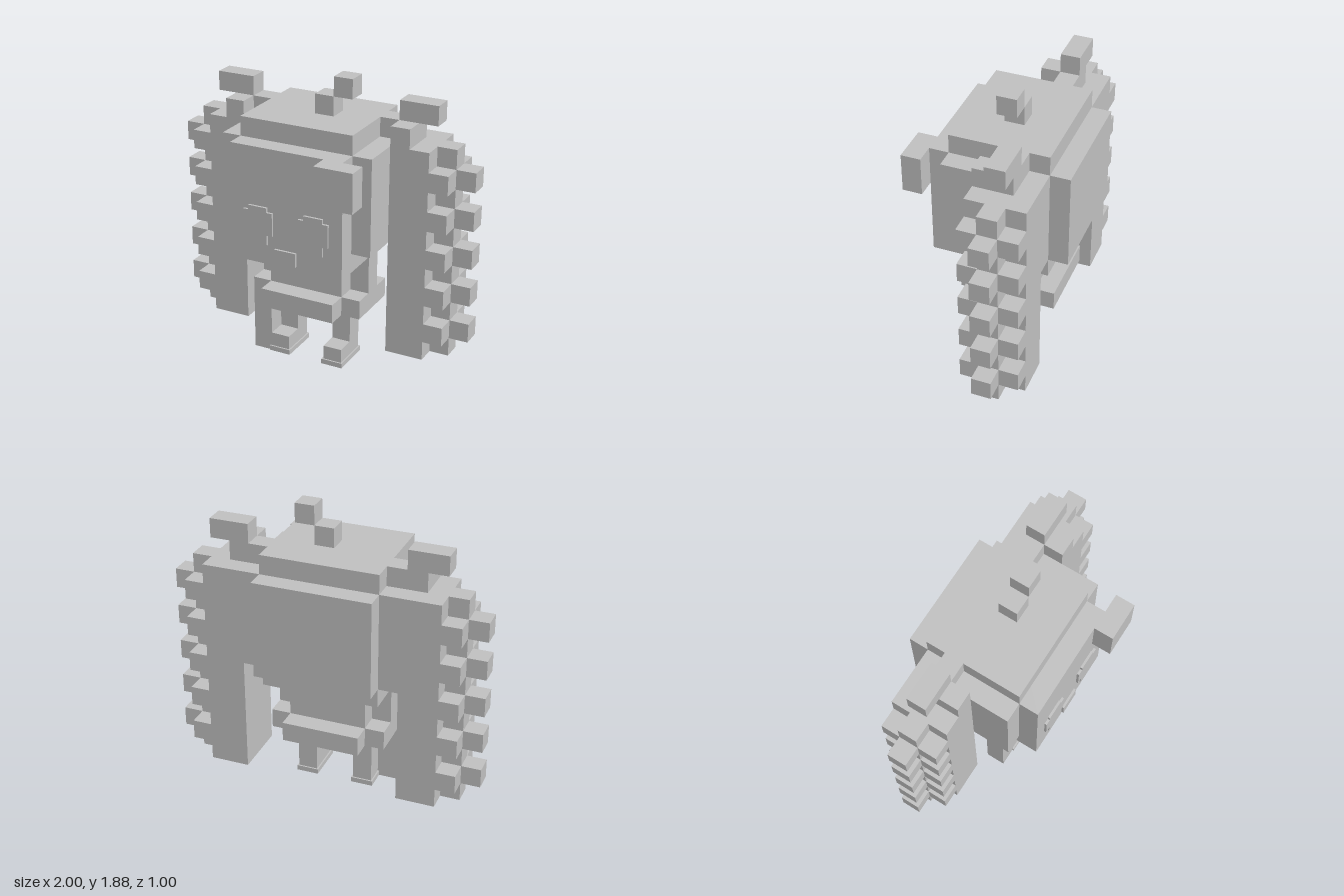
import * as THREE from 'three';

export function createModel() {
  const model = new THREE.Group();
  const clay = new THREE.MeshStandardMaterial({ color: 0xbfbfbf });
  clay.name = 'plain grey';
  const U = 0.125; // one voxel

  // Box between two corners given in metres
  function box(name, x0, x1, y0, y1, z0, z1, parent = model) {
    const mesh = new THREE.Mesh(new THREE.BoxGeometry(x1 - x0, y1 - y0, z1 - z0), clay);
    mesh.position.set((x0 + x1) / 2, (y0 + y1) / 2, (z0 + z1) / 2);
    mesh.name = name;
    parent.add(mesh);
    return mesh;
  }
  // The same box in voxel units
  const vox = (name, x0, x1, y0, y1, z0, z1, parent) =>
    box(name, x0 * U, x1 * U, y0 * U, y1 * U, z0 * U, z1 * U, parent);
  // A voxel box on the left (+x), mirrored for the right
  function pair(name, x0, x1, y0, y1, z0, z1) {
    vox(name + 'Left', x0, x1, y0, y1, z0, z1);
    vox(name + 'Right', -x1, -x0, y0, y1, z0, z1);
  }

  // Head and hair
  vox('head', -3, 3, 6, 12, -3, 3);
  vox('hairCap', -3, 3, 12, 13, -3, 2);
  vox('hairBack', -3, 3, 7, 12, -4, -3);
  pair('hairSide', 3, 4, 7, 12, -3, 2);
  vox('fringeLock', 2, 4, 10, 12, 3, 4);
  vox('topCurlBase', 0, 1, 13, 14, -1, 0);
  vox('topCurlTip', 1, 2, 14, 15, -1, 0);

  // Side tails with staggered voxel edges
  pair('tail', 4, 6, 1, 12, -3, 0);
  pair('tailSpine', 6, 7, 1, 12, -2, -1);
  for (let y = 2; y <= 10; y += 2) {
    pair('tailTuft', 7, 8, y, y + 1, -2, -1);
    pair('tailFrontTuft', 6, 7, y, y + 1, -1, 0);
    pair('tailBackTuft', 6, 7, y, y + 1, -3, -2);
  }
  // Ties joining the tails to the cap
  pair('tieBand', 3, 5, 12, 13, -2, -1);
  pair('tieKnot', 4, 5, 12, 13, -1, 0);
  pair('tieBow', 4, 6, 13, 14, -2, -1);

  // Face plates
  for (const s of [-1, 1]) {
    const eye = new THREE.Group();
    eye.name = s > 0 ? 'eyeLeft' : 'eyeRight';
    const c = s * 0.1875;
    box('eyeCentre', c - 0.0625, c + 0.0625, 0.88, 1.125, 0.375, 0.39, eye);
    box('eyeInnerEdge', c - 0.1, c - 0.0625, 0.945, 1.095, 0.375, 0.39, eye);
    box('eyeOuterEdge', c + 0.0625, c + 0.1, 0.945, 1.095, 0.375, 0.39, eye);
    model.add(eye);
  }
  box('mouth', -0.075, 0.07, 0.775, 0.865, 0.375, 0.39);

  // Body and cross-shaped skirt
  vox('torso', -2, 2, 4, 6, -2, 1);
  pair('arm', 2, 3, 4, 6, -1, 0);
  vox('skirt', -2, 2, 3, 4, -3, 2);
  pair('skirtSide', 2, 3, 3, 4, -2, 1);

  // Legs, feet and soles
  pair('leg', 1, 2, 1, 3, -1, 0);
  pair('foot', 1, 2, 0, 1, -1, 1);
  for (const s of [-1, 1]) {
    const c = s * 0.1875;
    box(s > 0 ? 'soleLeft' : 'soleRight', c - 0.072, c + 0.072, 0, 0.033, -0.135, 0.135);
  }
  vox('sidePanel', -3, -2, 0, 3, 0, 1);

  return model;
}
